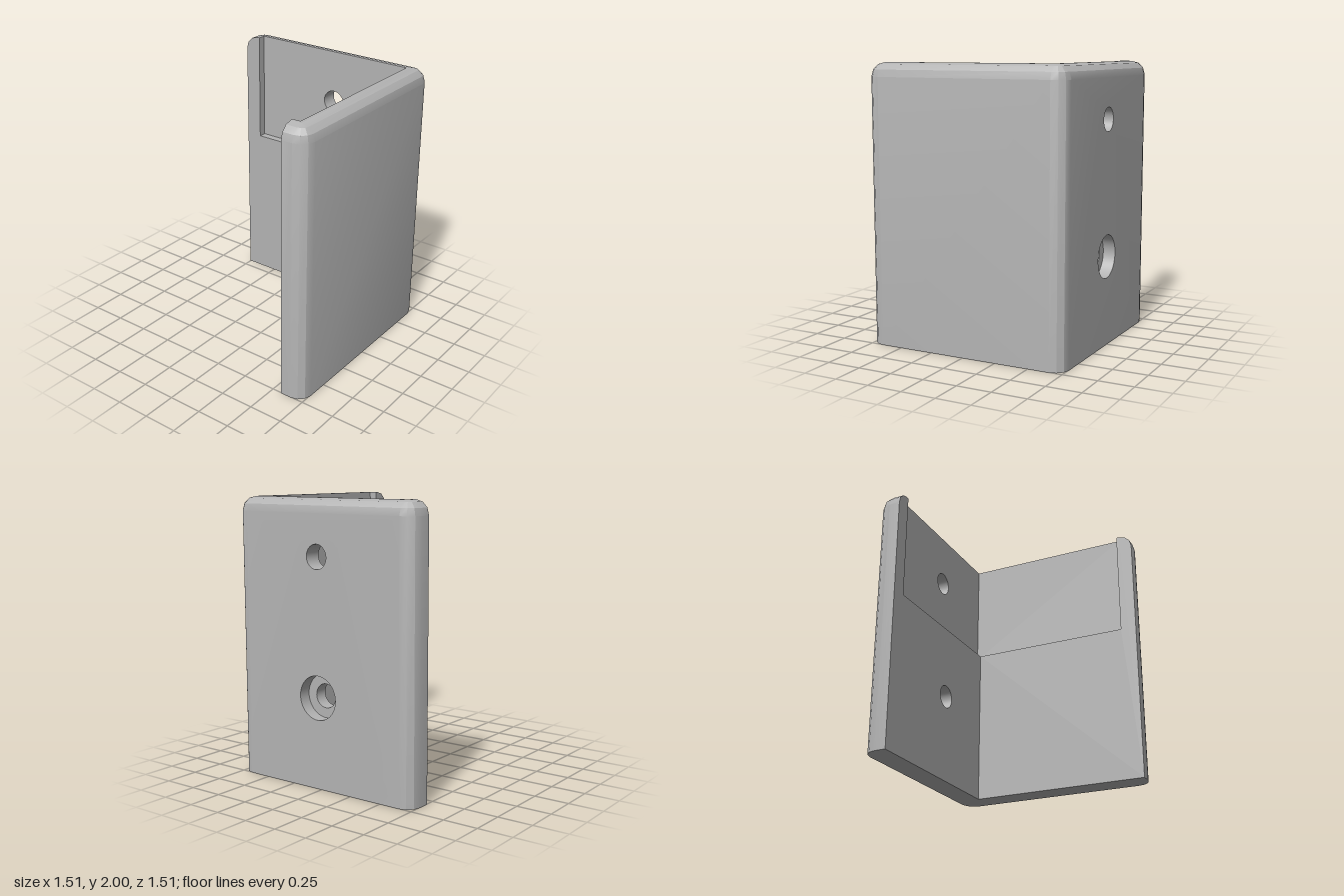
import * as THREE from 'three';
import { mergeGeometries, toCreasedNormals } from 'three/addons/utils/BufferGeometryUtils.js';

const OUT = 0.755, IN = 0.572, R = 0.1, C = OUT - R;     // outer face, inner face, fillet radius and centre
const POCKET = 0.63, END = -0.635, LEDGE = 1.19, TOP = 2; // shallow pocket in the upper inside
const BORE = 0.665;                                       // floor of the counterbore
const HOLE_Z = 0.026, HOLE_R = 0.085, BORE_R = 0.155, LOW = 0.645, HIGH = 1.61;
const STEPS = 3;

// Flat face from 2D points and round holes, placed in space by a mapping rule
function face(points, map, holes = []) {
  const shape = new THREE.Shape(points.map(([u, v]) => new THREE.Vector2(u, v)));
  for (const [u, v, r] of holes) {
    shape.holes.push(new THREE.Path().absarc(u, v, r, 0, Math.PI * 2, true));
  }
  const g = new THREE.ShapeGeometry(shape, 24).toNonIndexed();
  const p = g.attributes.position;
  for (let i = 0; i < p.count; i++) p.setXYZ(i, ...map(p.getX(i), p.getY(i)));
  g.deleteAttribute('uv');
  g.deleteAttribute('normal');
  return g;
}

const rect = (u0, v0, u1, v1) => [[u0, v0], [u1, v0], [u1, v1], [u0, v1]];
const atX = (x) => (u, v) => [x, v, -u];       // faces +x
const atXIn = (x) => (u, v) => [x, v, u];      // faces -x
const atZ = (z) => (u, v) => [u, v, z];        // faces +z
const atZIn = (z) => (u, v) => [-u, v, z];     // faces -z
const atY = (y) => (u, v) => [u, y, -v];       // faces +y
const atYDown = (y) => (u, v) => [u, y, v];    // faces -y

// L outline of the outside, as [x, z], with corner radius r
function outline(r) {
  const pts = [[-C - r, IN]];
  [[-C, C, Math.PI], [C, C, Math.PI / 2], [C, -C, 0]].forEach(([x, z, start]) => {
    for (let k = 0; k <= STEPS; k++) {
      const a = start - (k / STEPS) * Math.PI / 2;
      pts.push([x + r * Math.cos(a), z + r * Math.sin(a)]);
    }
  });
  pts.push([IN, -C - r]);
  return pts;
}

// Rounded outside lofted through outlines; the drilled flat is left open
function skin() {
  const levels = [outline(R).map(([x, z]) => [x, 0, z])];
  for (let k = 0; k <= STEPS; k++) {
    const a = (k / STEPS) * Math.PI / 2;
    levels.push(outline(R * Math.cos(a)).map(([x, z]) => [x, TOP - R + R * Math.sin(a), z]));
  }
  const drilled = 2 * (STEPS + 1);
  const pos = [];
  for (let j = 0; j < levels.length - 1; j++) {
    for (let i = 0; i < levels[0].length - 1; i++) {
      if (j === 0 && i === drilled) continue;
      const a = levels[j][i], b = levels[j][i + 1], c = levels[j + 1][i + 1], d = levels[j + 1][i];
      for (const t of [[a, b, c], [a, c, d]]) {
        const [p, q, s] = t.map((v) => new THREE.Vector3(...v));
        if (q.sub(p).cross(s.sub(p)).length() > 1e-7) pos.push(...t.flat());
      }
    }
  }
  const g = new THREE.BufferGeometry();
  g.setAttribute('position', new THREE.Float32BufferAttribute(pos, 3));
  return g;
}

export function createModel() {
  const grey = new THREE.MeshStandardMaterial({ color: 0xb4b4b4, side: THREE.DoubleSide });
  grey.name = 'grey';
  const group = new THREE.Group();
  group.name = 'cornerBracket';
  const add = (name, parts) => {
    const mesh = new THREE.Mesh(toCreasedNormals(mergeGeometries(parts), 0.35), grey);
    mesh.name = name;
    group.add(mesh);
  };

  // Outer shell with the drilled right side
  add('outerShell', [
    skin(),
    face(rect(-C, 0, C, TOP - R), atX(OUT), [[-HOLE_Z, LOW, BORE_R], [-HOLE_Z, HIGH, HOLE_R]]),
  ]);

  // Pocket outline seen from above, as [x, z]
  const pocket = [[IN, END], [POCKET, END], [POCKET, POCKET], [END, POCKET], [END, IN]];
  const flip = (pts) => pts.map(([x, z]) => [x, -z]);
  add('topRim', [face(flip([[-C, IN], [-C, C], [C, C], [C, -C], [IN, -C], ...pocket]), atY(TOP))]);
  add('bottomFace', [face([...outline(R), [IN, IN]], atYDown(0))]);
  add('pocketLedge', [face(flip([...pocket, [IN, IN]]), atY(LEDGE))]);

  // Inner wall side: full height at the end lip, cut down to the ledge elsewhere
  const side = [[IN, 0], [IN, LEDGE], [END, LEDGE], [END, TOP]];
  for (let k = STEPS; k >= 0; k--) {
    const a = (k / STEPS) * Math.PI / 2;
    side.push([-C - R * Math.cos(a), TOP - R + R * Math.sin(a)]);
  }
  side.push([-OUT, 0]);
  add('innerRightWall', [face(side, atXIn(IN), [[HOLE_Z, LOW, HOLE_R]])]);
  add('innerFrontWall', [face(side.map(([u, v]) => [-u, v]), atZIn(IN))]);

  // Pocket walls and their end steps
  add('pocketRightWall', [face(rect(END, LEDGE, POCKET, TOP), atXIn(POCKET), [[HOLE_Z, HIGH, HOLE_R]])]);
  add('pocketFrontWall', [face(rect(-POCKET, LEDGE, -END, TOP), atZIn(POCKET))]);
  add('pocketEnds', [
    face(rect(IN, LEDGE, POCKET, TOP), atZ(END)),
    face(rect(-POCKET, LEDGE, -IN, TOP), atX(END)),
  ]);

  // Screw holes: plain above, counterbored below
  const tube = (name, r, x0, x1, y) => {
    const mesh = new THREE.Mesh(new THREE.CylinderGeometry(r, r, x1 - x0, 48, 1, true), grey);
    mesh.rotation.z = Math.PI / 2;
    mesh.position.set((x0 + x1) / 2, y, HOLE_Z);
    mesh.name = name;
    group.add(mesh);
  };
  tube('upperHole', HOLE_R, POCKET, OUT, HIGH);
  tube('lowerHole', HOLE_R, IN, BORE, LOW);
  tube('counterbore', BORE_R, BORE, OUT, LOW);
  const floor = new THREE.Mesh(new THREE.RingGeometry(HOLE_R, BORE_R, 48), grey);
  floor.rotation.y = Math.PI / 2;
  floor.position.set(BORE, LOW, HOLE_Z);
  floor.name = 'counterboreFloor';
  group.add(floor);

  return group;
}
